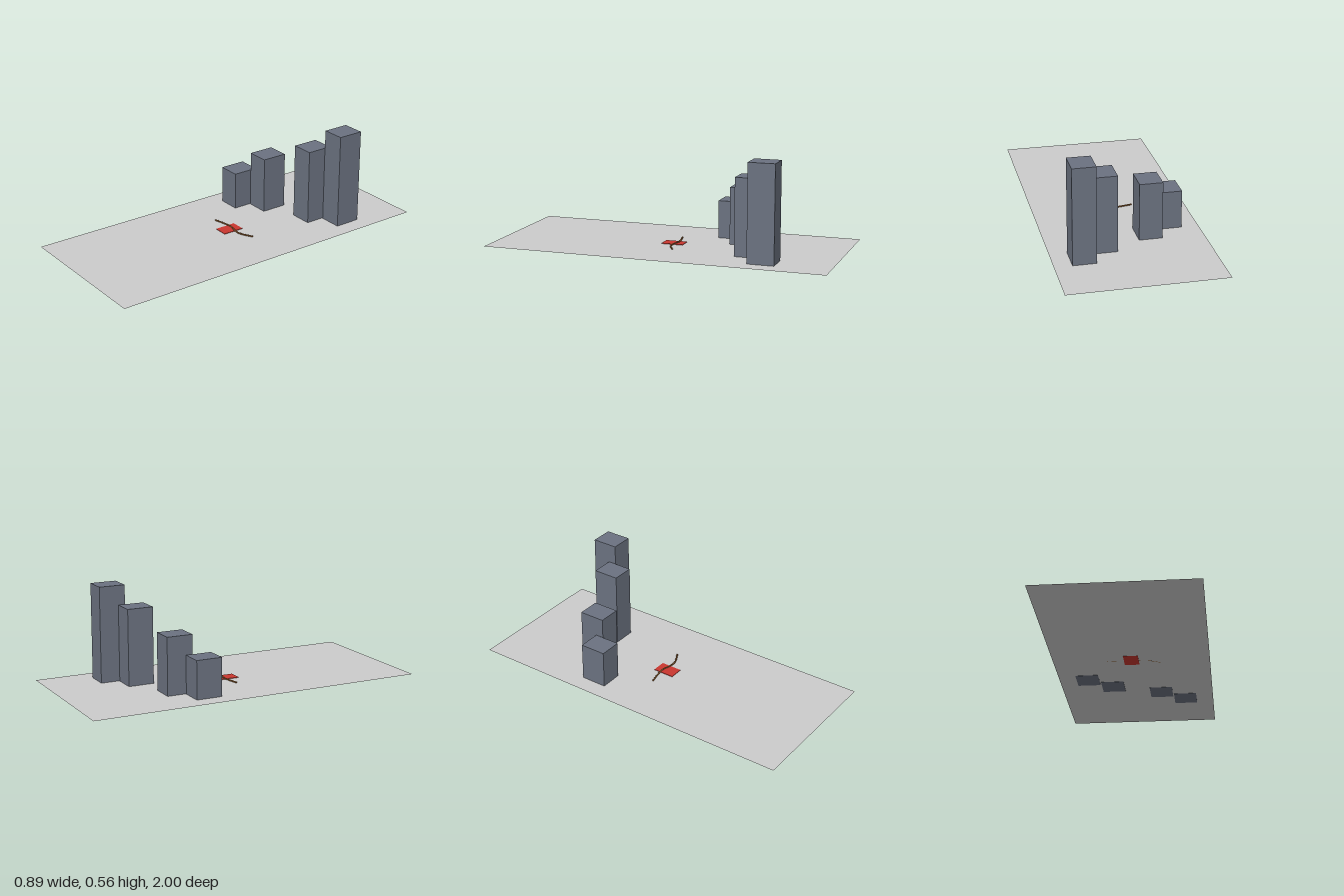
import * as THREE from 'three';

const material = (name, color) => {
  const m = new THREE.MeshStandardMaterial({ color });
  m.name = name;
  return m;
};

export function createModel() {
  const model = new THREE.Group();
  const groundGrey = material('ground grey', 0xcccccc);
  const slate = material('slate', 0x6b7280);
  const red = material('red', 0xc9372f);
  const brown = material('brown', 0x8b5a2b);
  groundGrey.side = THREE.DoubleSide;

  const add = (name, geometry, mat, x, y, z) => {
    const mesh = new THREE.Mesh(geometry, mat);
    mesh.name = name;
    mesh.position.set(x, y, z);
    model.add(mesh);
  };

  // Thin ground sheet
  add('ground', new THREE.PlaneGeometry(0.89, 2).rotateX(-Math.PI / 2), groundGrey, 0, 0.001, 0);

  // Four pillars, rising and stepping back from right to left
  [-0.279, -0.14, 0.139, 0.278].forEach((x, i) => {
    const height = 0.112 * (i + 2);
    add(`pillar${i + 1}`, new THREE.BoxGeometry(0.133, height, 0.154), slate,
      x, height / 2, -0.279 - 0.111 * i);
  });

  // Red marker plate, visible on both sides of the ground
  add('marker', new THREE.BoxGeometry(0.084, 0.004, 0.127), red, 0, 0.002, -0.001);

  // Wavy cord lying across the marker
  const path = new THREE.CatmullRomCurve3([
    [-0.14, 0.0045, -0.003], [-0.075, 0.005, -0.017], [-0.015, 0.0055, -0.024],
    [0.04, 0.005, -0.011], [0.09, 0.0045, -0.011], [0.165, 0.0045, -0.046],
  ].map((p) => new THREE.Vector3(...p)));
  add('cord', new THREE.TubeGeometry(path, 40, 0.0045, 8), brown, 0, 0, 0);

  // Cord end caps
  [0, 1].forEach((t) => {
    const p = path.getPoint(t);
    const cap = new THREE.CircleGeometry(0.0045, 8);
    const out = path.getTangent(t).multiplyScalar(t ? 1 : -1);
    cap.applyQuaternion(new THREE.Quaternion().setFromUnitVectors(new THREE.Vector3(0, 0, 1), out));
    add('cordEnd', cap, brown, p.x, p.y, p.z);
  });

  return model;
}
